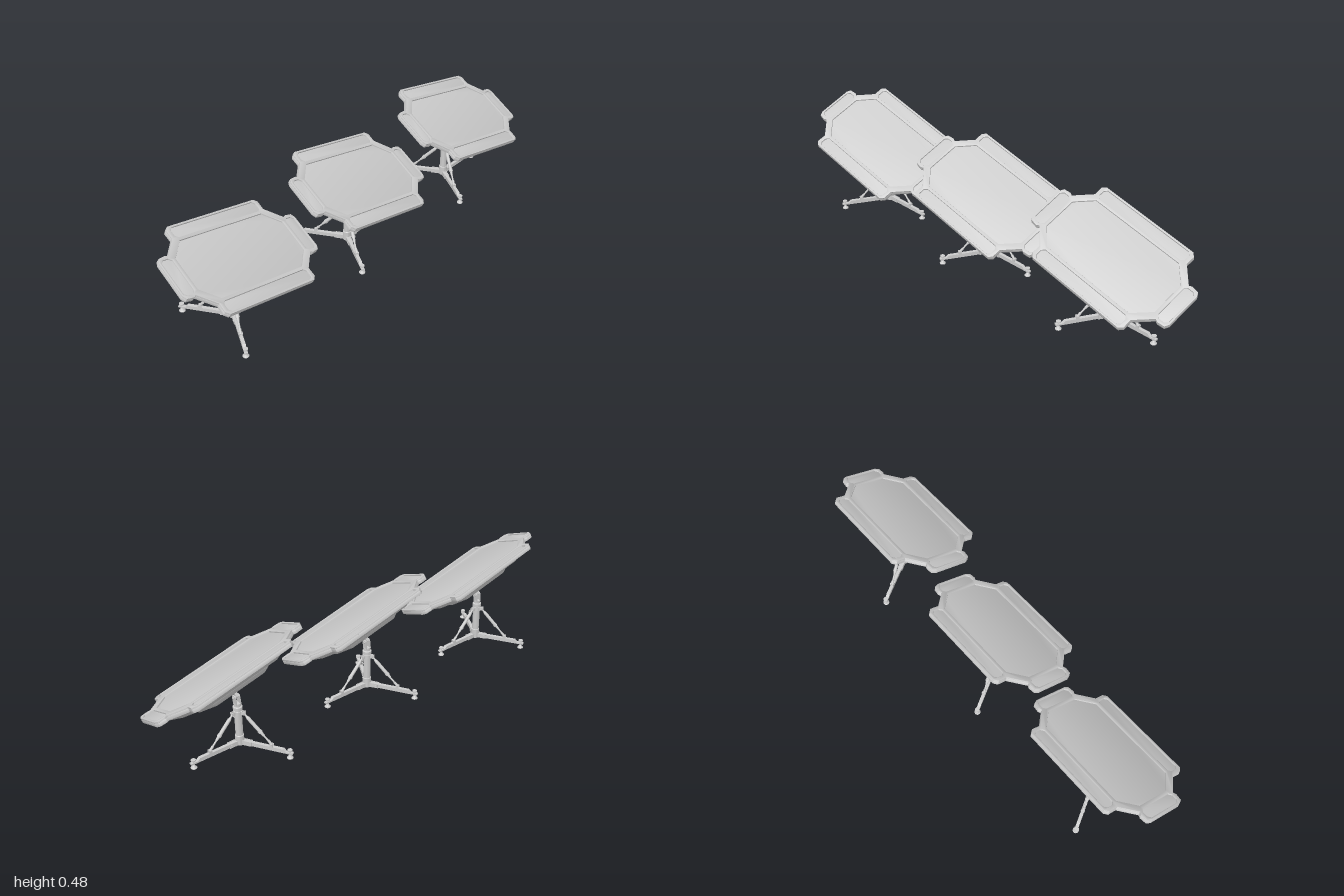
import * as THREE from 'three';
import { toCreasedNormals } from 'three/addons/utils/BufferGeometryUtils.js';

const mat = new THREE.MeshStandardMaterial({ color: 0xcccccc });
const V = (x, y, z) => new THREE.Vector3(x, y, z);

function add(parent, name, geo, x = 0, y = 0, z = 0) {
  const m = new THREE.Mesh(geo, mat);
  m.name = name;
  m.position.set(x, y, z);
  parent.add(m);
  return m;
}

const cyl = (r1, r2, h, n = 20) => new THREE.CylinderGeometry(r1, r2, h, n);

// Cylinder between two points
function rod(parent, name, a, b, r1, r2 = r1) {
  const d = b.clone().sub(a);
  const m = add(parent, name, cyl(r2, r1, d.length(), 14));
  m.position.copy(a).addScaledVector(d, 0.5);
  m.quaternion.setFromUnitVectors(V(0, 1, 0), d.normalize());
  return m;
}

// Octagon corners: half sizes a, b and corner cut c, centred on (x, y)
function octagon(a, b, c, x = 0, y = 0) {
  return [[a, c - b], [a, b - c], [a - c, b], [c - a, b], [-a, b - c], [-a, c - b], [c - a, -b], [a - c, -b]]
    .map(([u, v]) => new THREE.Vector2(u + x, v + y));
}

// Panel outline: one quarter mirrored round, with notches beside each flap
function outline() {
  const q = [[0.345, 0.076], [0.336, 0.093], [0.306, 0.097], [0.294, 0.091],
    [0.231, 0.154], [0.232, 0.193], [0.217, 0.208]];
  const pts = [];
  for (const [sx, sy] of [[1, 1], [-1, 1], [-1, -1], [1, -1]]) {
    const part = q.map(([x, y]) => new THREE.Vector2(x * sx, y * sy));
    pts.push(...(sx * sy > 0 ? part : part.reverse()));
  }
  return new THREE.Shape(pts);
}

// Slab lying flat, from y0 up to y0 + h
function slab(shape, y0, h, bevel) {
  const g = new THREE.ExtrudeGeometry(shape, {
    depth: h - 2 * bevel, bevelThickness: bevel, bevelSize: bevel, bevelOffset: -bevel, bevelSegments: 2,
  });
  return toCreasedNormals(g.rotateX(-Math.PI / 2).translate(0, y0 + bevel, 0), 0.5);
}

// Stepped back shell from stacked octagons [a, b, cut, y], closed at the bottom
function shell(rings) {
  const pos = [], idx = [];
  for (const [a, b, c, y] of rings) for (const p of octagon(a, b, c)) pos.push(p.x, y, p.y);
  const last = (rings.length - 1) * 8;
  pos.push(0, rings.at(-1)[3], 0);
  for (let k = 0; k < 8; k++) {
    const n = (k + 1) % 8;
    for (let r = 0; r < last; r += 8) idx.push(r + k, r + n, r + 8 + k, r + n, r + 8 + n, r + 8 + k);
    idx.push(last + 8, last + k, last + n);
  }
  const g = new THREE.BufferGeometry();
  g.setAttribute('position', new THREE.Float32BufferAttribute(pos, 3));
  g.setIndex(idx);
  return toCreasedNormals(g, 0.6);
}

function makePanel() {
  const g = new THREE.Group();
  g.name = 'panel';
  add(g, 'panelPlate', slab(outline(), -0.024, 0.018, 0.003));

  // Raised rim around the main face and the four flaps
  const rim = outline();
  rim.holes = [
    octagon(0.272, 0.137, 0.065),
    octagon(0.214, 0.024, 0.012, 0, 0.175), octagon(0.214, 0.024, 0.012, 0, -0.175),
    octagon(0.024, 0.081, 0.012, 0.312, 0), octagon(0.024, 0.081, 0.012, -0.312, 0),
  ].map((p) => new THREE.Path(p.reverse()));
  add(g, 'panelRim', slab(rim, -0.008, 0.008, 0.002));

  add(g, 'backShell', shell([
    [0.322, 0.19, 0.13, -0.02], [0.285, 0.16, 0.09, -0.032], [0.262, 0.148, 0.08, -0.042],
    [0.24, 0.137, 0.075, -0.053], [0.226, 0.128, 0.07, -0.056], [0.196, 0.108, 0.06, -0.058],
    [0.185, 0.102, 0.058, -0.066], [0.168, 0.09, 0.052, -0.081], [0.155, 0.08, 0.047, -0.085],
  ]));

  // Mounting frame and hinge tongue under the shell
  add(g, 'mountPlate', new THREE.BoxGeometry(0.056, 0.005, 0.056), 0, -0.087, 0);
  for (const s of [-1, 1]) {
    add(g, 'mountBar', new THREE.BoxGeometry(0.062, 0.008, 0.007), 0, -0.09, s * 0.027);
    add(g, 'mountBar', new THREE.BoxGeometry(0.007, 0.008, 0.062), s * 0.027, -0.09, 0);
  }
  add(g, 'mountBoss', cyl(0.017, 0.012, 0.014), 0, -0.095, 0);
  add(g, 'hingeTongue', new THREE.BoxGeometry(0.012, 0.03, 0.02), 0, -0.108, 0);
  return g;
}

function makeLeg() {
  const g = new THREE.Group();
  g.name = 'leg';
  // Beam with a stepped-down outer end
  const side = new THREE.Shape([[0.01, 0.02], [0.228, 0.02], [0.228, 0.027], [0.198, 0.027], [0.188, 0.037], [0.01, 0.037]]
    .map(([x, y]) => new THREE.Vector2(x, y)));
  add(g, 'legBeam', new THREE.ExtrudeGeometry(side, { depth: 0.014, bevelEnabled: false }), 0, 0, -0.007);
  for (const s of [-1, 1]) {
    add(g, 'hubBracket', new THREE.BoxGeometry(0.04, 0.02, 0.003), 0.033, 0.029, s * 0.0085);
    add(g, 'strutLug', new THREE.BoxGeometry(0.014, 0.014, 0.003), 0.138, 0.042, s * 0.0055);
  }
  add(g, 'hubBolt', cyl(0.004, 0.004, 0.024, 10).rotateX(Math.PI / 2), 0.043, 0.03, 0);
  add(g, 'strutPin', cyl(0.004, 0.004, 0.017, 10).rotateX(Math.PI / 2), 0.138, 0.045, 0);

  // Levelling foot with screw and knob
  const foot = [[0, 0], [0.013, 0], [0.013, 0.003], [0.009, 0.006], [0.006, 0.012], [0.004, 0.014],
    [0.004, 0.034], [0.01, 0.034], [0.01, 0.039], [0, 0.039]].map(([x, y]) => new THREE.Vector2(x, y));
  add(g, 'foot', toCreasedNormals(new THREE.LatheGeometry(foot, 20), 0.5), 0.215, 0, 0);

  // Telescopic strut from the collar down to the beam
  const a = V(0.024, 0.166, 0), b = V(0.138, 0.045, 0);
  const at = (t) => a.clone().lerp(b, t);
  rod(g, 'strutRod', a, b, 0.0038);
  rod(g, 'strutSleeve', at(0.16), at(0.58), 0.0075);
  rod(g, 'strutCone', at(0.1), at(0.16), 0.0045, 0.0075);
  rod(g, 'strutRing', at(0.56), at(0.62), 0.009);
  rod(g, 'strutNeck', at(0.62), at(0.72), 0.0065, 0.005);
  rod(g, 'strutEnd', at(0.88), b, 0.0055);
  for (const s of [-1, 1]) add(g, 'collarLug', new THREE.BoxGeometry(0.018, 0.014, 0.003), 0.022, 0.167, s * 0.0055);
  add(g, 'collarPin', cyl(0.004, 0.004, 0.017, 10).rotateX(Math.PI / 2), 0.025, 0.166, 0);
  return g;
}

function makeStand(tilt) {
  const g = new THREE.Group();
  g.name = 'stand';
  const post = [[0, 0.018], [0.018, 0.018], [0.018, 0.06], [0.0155, 0.062], [0.0155, 0.158], [0.018, 0.159],
    [0.018, 0.174], [0.0155, 0.175], [0.0155, 0.178], [0.019, 0.179], [0.019, 0.193], [0.014, 0.196],
    [0.014, 0.208], [0, 0.21]].map(([x, y]) => new THREE.Vector2(x, y));
  add(g, 'post', toCreasedNormals(new THREE.LatheGeometry(post, 28), 0.5));
  for (let i = 0; i < 3; i++) {
    const leg = makeLeg();
    leg.rotation.y = i * Math.PI * 2 / 3;
    g.add(leg);
  }
  // Hinge fork under the panel
  const fork = new THREE.Group();
  fork.name = 'hingeFork';
  fork.rotation.z = tilt * 0.4;
  fork.position.y = 0.205;
  for (const s of [-1, 1]) {
    add(fork, 'forkCheek', new THREE.BoxGeometry(0.005, 0.036, 0.022), s * 0.0095, 0.016, 0);
    add(fork, 'forkEnd', cyl(0.011, 0.011, 0.005).rotateZ(Math.PI / 2), s * 0.0095, 0.033, 0);
  }
  add(fork, 'hingePin', cyl(0.005, 0.005, 0.032, 14).rotateZ(Math.PI / 2), 0, 0.033, 0);
  add(fork, 'tiltLink', new THREE.BoxGeometry(0.01, 0.034, 0.008), 0, 0.014, 0.014).rotation.x = 0.3;
  g.add(fork);
  return g;
}

export function createModel() {
  const model = new THREE.Group();
  model.name = 'panelArray';
  const roll = -0.255, pitch = 0.428;
  // Three identical tilted panels in a row
  for (const i of [-1, 0, 1]) {
    const unit = new THREE.Group();
    unit.name = 'unit';
    unit.position.x = i * 0.657;
    const panel = makePanel();
    panel.rotation.set(pitch, 0, roll, 'ZYX');
    panel.position.set(0, 0.347, 0.031);
    const stand = makeStand(roll);
    stand.position.set(-0.028, 0, -0.021);
    unit.add(panel, stand);
    model.add(unit);
  }
  return model;
}
